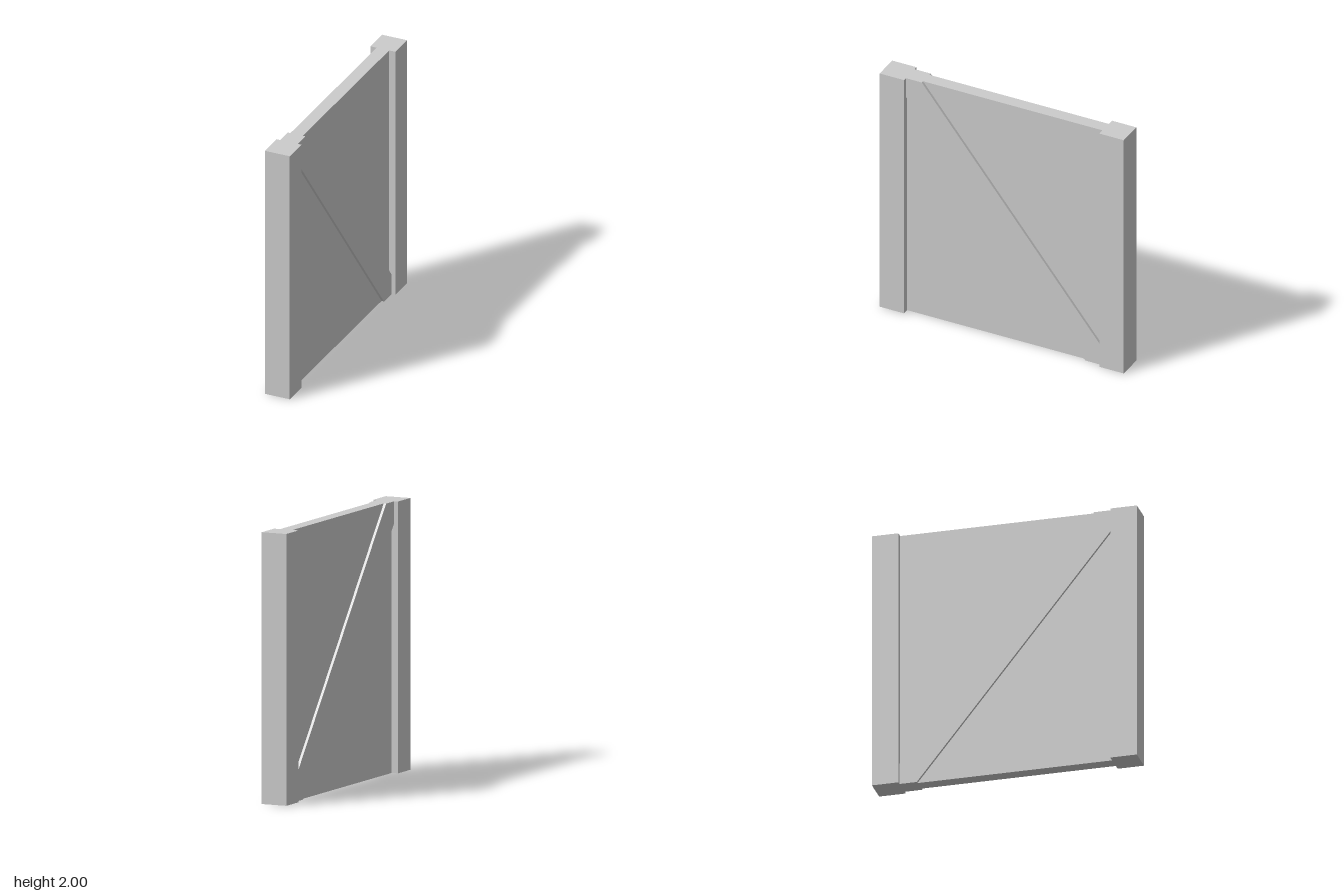
import * as THREE from 'three';

const HEIGHT = 2;
const INNER = 0.8; // half the opening between the posts
const PANEL = 0.1; // panel thickness
const BRACE = 0.02; // how far the brace stands proud of the panel

export function createModel() {
  const group = new THREE.Group();
  const material = new THREE.MeshStandardMaterial({ color: 0xcccccc, flatShading: true });

  const add = (name, geometry, x, y, z) => {
    const mesh = new THREE.Mesh(geometry, material);
    mesh.name = name;
    mesh.position.set(x, y, z);
    group.add(mesh);
  };

  // Infill panel
  add('panel', new THREE.BoxGeometry(PANEL, HEIGHT, 2 * INNER), 0, HEIGHT / 2, 0);

  // Upright posts at the front and back ends
  add('frontPost', new THREE.BoxGeometry(0.2, HEIGHT, 0.2), 0, HEIGHT / 2, 0.9);
  add('backPost', new THREE.BoxGeometry(0.2, HEIGHT, 0.2), 0, HEIGHT / 2, -0.9);

  // Diagonal brace, trimmed to the corners of the opening; drawn in (z, y)
  const outline = new THREE.Shape([
    [INNER, 2], [0.67, 2], [-INNER, 0.16],
    [-INNER, 0], [-0.67, 0], [INNER, 1.84],
  ].map(([z, y]) => new THREE.Vector2(z, y)));
  const brace = new THREE.ExtrudeGeometry(outline, { depth: BRACE, bevelEnabled: false });
  brace.translate(0, 0, -BRACE / 2).rotateY(-Math.PI / 2);

  // The same brace shows on both faces of the panel
  const offset = (PANEL + BRACE) / 2;
  add('leftBrace', brace, offset, 0, 0);
  add('rightBrace', brace, -offset, 0, 0);

  return group;
}
